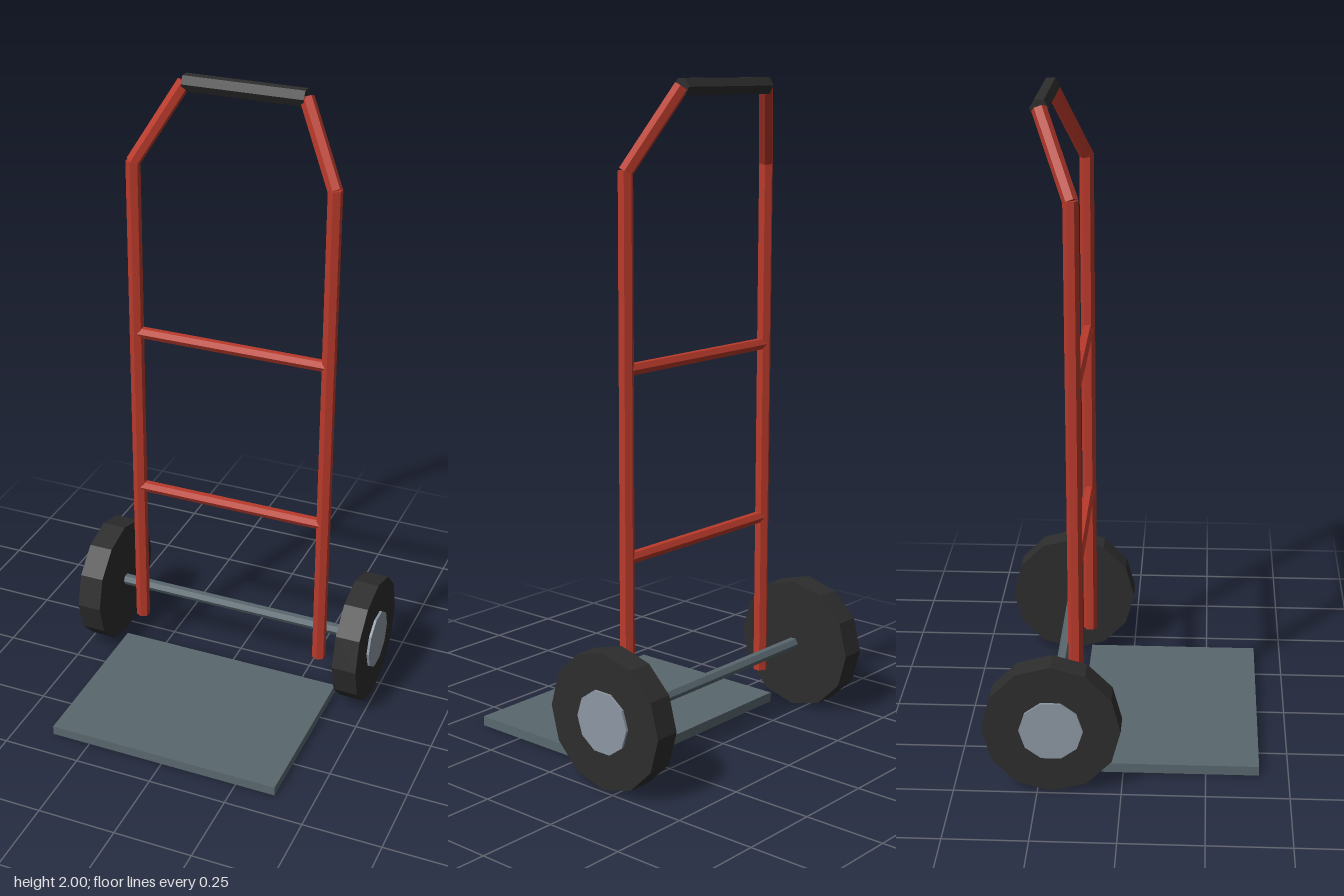
import * as THREE from 'three';

const mat = (name, color) => {
  const m = new THREE.MeshStandardMaterial({ color, flatShading: true });
  m.name = name;
  return m;
};

export function createModel() {
  const red = mat('red paint', 0xb93a2b);
  const black = mat('black rubber', 0x2d2d2d);
  const steel = mat('dark steel', 0x59686f);
  const silver = mat('silver hub', 0x8d98a3);

  const model = new THREE.Group();
  model.name = 'handTruck';
  const add = (name, geometry, material) => {
    const mesh = new THREE.Mesh(geometry, material);
    mesh.name = name;
    model.add(mesh);
    return mesh;
  };

  // Straight bar between two points
  const up = new THREE.Vector3(0, 1, 0);
  const bar = (name, from, to, radius, material, sides = 6) => {
    const a = new THREE.Vector3(...from), b = new THREE.Vector3(...to);
    const dir = b.clone().sub(a);
    const mesh = add(name, new THREE.CylinderGeometry(radius, radius, dir.length(), sides), material);
    mesh.position.copy(a).add(b).multiplyScalar(0.5);
    mesh.quaternion.setFromUnitVectors(up, dir.normalize());
    return mesh;
  };

  const poleX = 0.317, poleZ = -0.144, bendY = 1.75;
  const gripX = 0.19, gripY = 1.976, gripZ = -0.238;
  const wheelY = 0.206, wheelZ = -0.207;

  // Uprights, slanted handle arms, wheels and hubs on both sides
  for (const [side, s] of [['left', 1], ['right', -1]]) {
    bar(side + 'Upright', [s * poleX, 0.13, poleZ], [s * poleX, bendY, poleZ], 0.0225, red);
    bar(side + 'HandleArm', [s * poleX, bendY - 0.005, poleZ], [s * gripX, gripY, gripZ], 0.0225, red);
    bar(side + 'Wheel', [s * 0.41, wheelY, wheelZ], [s * 0.489, wheelY, wheelZ], 0.206, black, 12);
    bar(side + 'Hub', [s * 0.42, wheelY, wheelZ], [s * 0.497, wheelY, wheelZ], 0.095, silver, 10);
  }

  // Cross bars
  for (const y of [0.637, 1.19]) {
    bar('crossBar', [-poleX, y, poleZ], [poleX, y, poleZ], 0.0185, red);
  }

  // Grip and axle
  bar('grip', [-gripX, gripY, gripZ], [gripX, gripY, gripZ], 0.0275, black);
  bar('axle', [-0.42, wheelY, wheelZ], [0.42, wheelY, wheelZ], 0.0185, steel);

  // Toe plate
  add('toePlate', new THREE.BoxGeometry(0.756, 0.03, 0.554), steel).position.set(0, 0.015, 0.134);

  return model;
}
